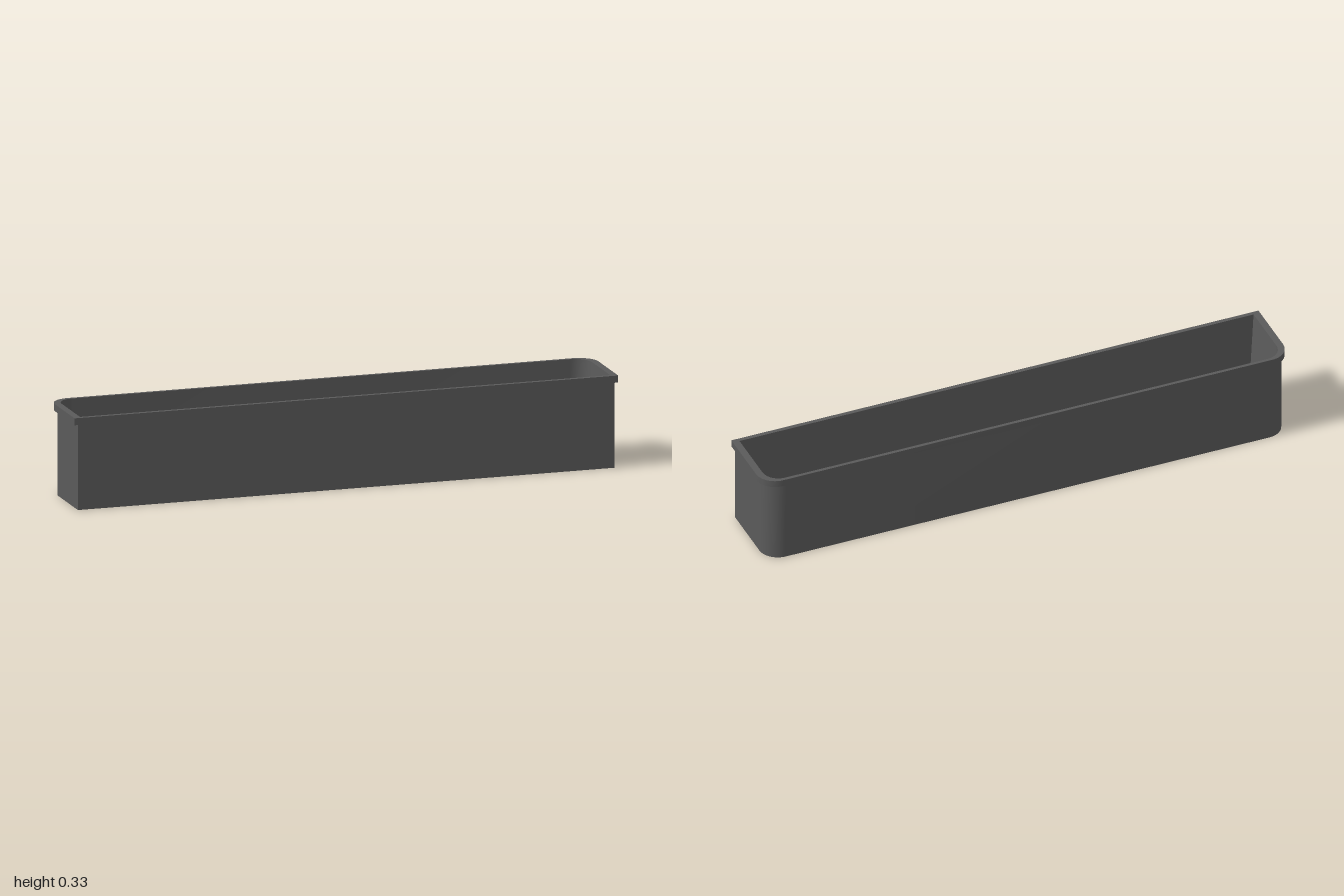
import * as THREE from 'three';
import { toCreasedNormals } from 'three/addons/utils/BufferGeometryUtils.js';

// Outline with square front corners and rounded back corners
function outline({ w, front, back, r, y }) {
  const pts = [[-w, y, front], [w, y, front]];
  const steps = 12;
  for (const side of [1, -1]) {
    for (let i = 0; i <= steps; i++) {
      const t = i / steps * Math.PI / 2;
      const a = side > 0 ? t : Math.PI / 2 + t;
      pts.push([side * (w - r) + r * Math.cos(a), y, back + r - r * Math.sin(a)]);
    }
  }
  return pts;
}

// Skin between successive outlines
function loft(sections) {
  const rings = sections.map(outline);
  const pos = [];
  for (let k = 0; k < rings.length - 1; k++) {
    const a = rings[k], b = rings[k + 1];
    for (let i = 0; i < a.length; i++) {
      const j = (i + 1) % a.length;
      pos.push(...a[i], ...a[j], ...b[j], ...a[i], ...b[j], ...b[i]);
    }
  }
  const g = new THREE.BufferGeometry();
  g.setAttribute('position', new THREE.Float32BufferAttribute(pos, 3));
  return toCreasedNormals(g, 0.5);
}

export function createModel() {
  const group = new THREE.Group();
  const plastic = new THREE.MeshStandardMaterial({ color: 0x5a5a5a });
  plastic.name = 'dark grey plastic';

  const centre = y => ({ w: 0, front: 0, back: 0, r: 0, y });
  const body = y => ({ w: 0.987, front: 0.144, back: -0.144, r: 0.07, y });
  const rim = y => ({ w: 1, front: 0.146, back: -0.146, r: 0.072, y });
  const mouth = { w: 0.975, front: 0.131, back: -0.134, r: 0.06, y: 0.331 };
  const floor = { w: 0.955, front: 0.124, back: -0.13, r: 0.05, y: 0.02 };

  const add = (name, sections) => {
    const mesh = new THREE.Mesh(loft(sections), plastic);
    mesh.name = name;
    group.add(mesh);
  };
  add('outerWalls', [centre(0), body(0), body(0.306)]);
  add('rim', [body(0.306), rim(0.306), rim(0.331), mouth]);
  add('innerWalls', [mouth, floor, centre(0.02)]);
  return group;
}
